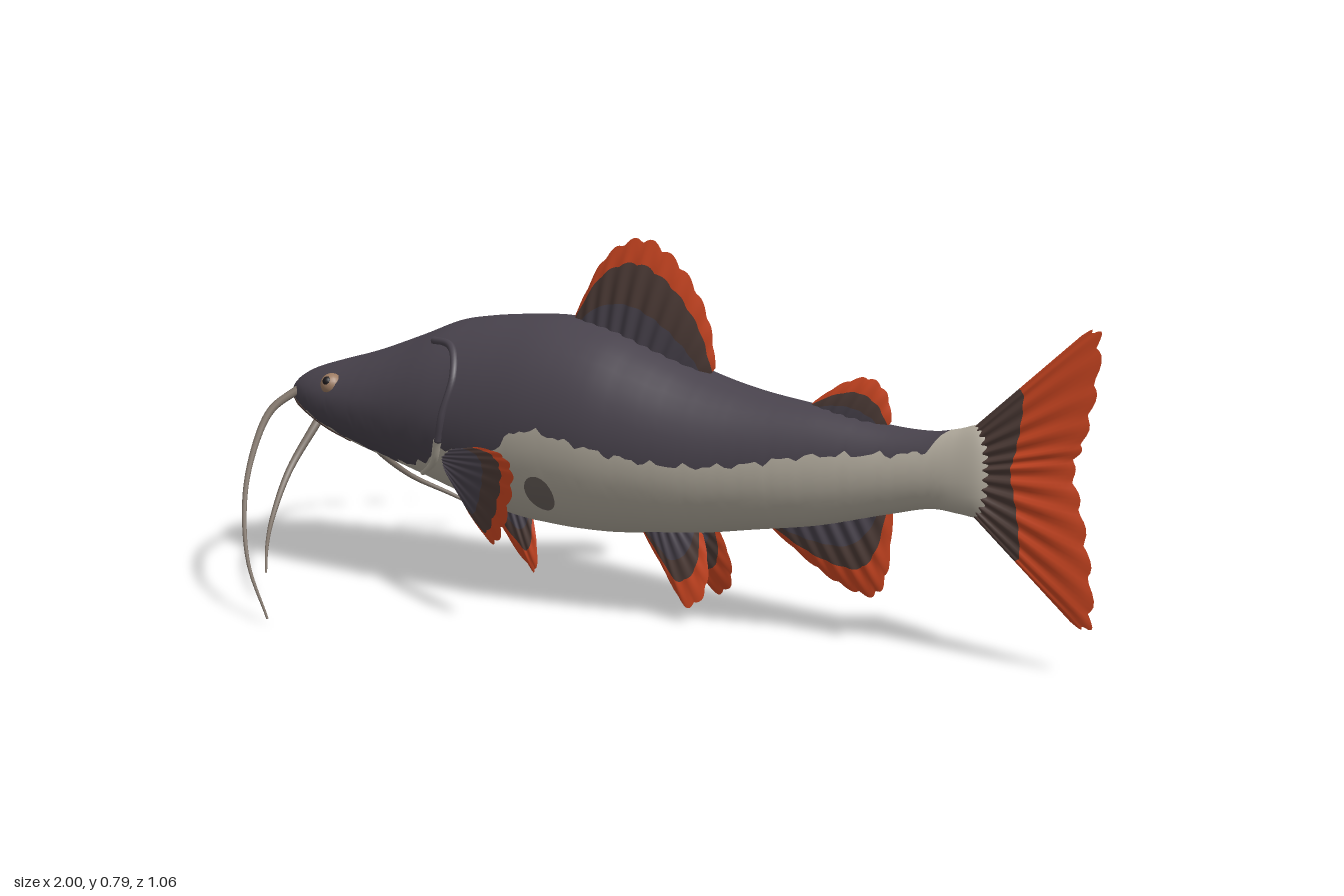
import * as THREE from 'three';

const mat = (name, color) => {
  const m = new THREE.MeshStandardMaterial({ color, side: THREE.DoubleSide });
  m.name = name;
  return m;
};

// Body stations: x, top y, bottom y, half width, y where the dark back meets the pale belly
const STATIONS = [
  [-0.932, 0.405, 0.395, 0.01, 0.4], [-0.925, 0.43, 0.375, 0.06, 0.395], [-0.89, 0.452, 0.352, 0.095, 0.385],
  [-0.82, 0.475, 0.32, 0.135, 0.355], [-0.72, 0.505, 0.285, 0.163, 0.32], [-0.6, 0.55, 0.252, 0.178, 0.285],
  [-0.5, 0.59, 0.222, 0.186, 0.3], [-0.42, 0.607, 0.198, 0.188, 0.345], [-0.33, 0.618, 0.177, 0.19, 0.33],
  [-0.22, 0.623, 0.167, 0.19, 0.405], [-0.1, 0.607, 0.168, 0.183, 0.39], [0, 0.575, 0.178, 0.168, 0.37],
  [0.12, 0.535, 0.192, 0.145, 0.36], [0.25, 0.507, 0.215, 0.117, 0.37], [0.4, 0.488, 0.242, 0.088, 0.4],
  [0.54, 0.467, 0.28, 0.064, 0.415], [0.64, 0.464, 0.305, 0.05, 0.43], [0.7, 0.475, 0.303, 0.042, 0.49],
  [0.75, 0.488, 0.3, 0.032, 0.52], [0.775, 0.465, 0.32, 0.018, 0.55], [0.785, 0.4, 0.385, 0.004, 0.55],
];
const tracks = [1, 2, 3, 4].map(k => new THREE.SplineCurve(STATIONS.map(r => new THREE.Vector2(r[0], r[k]))));

// Cross-section at curve parameter t
function section(t) {
  const [top, bottom, w, split] = tracks.map(c => c.getPoint(t));
  return { x: top.x, cy: (top.y + bottom.y) / 2, h: (top.y - bottom.y) / 2, w: w.y, split: split.y };
}

// Point on the flank above (x, y), pushed out by off
function flank(x, y, side, off = 0) {
  let lo = 0, hi = 1;
  for (let i = 0; i < 24; i++) {
    const m = (lo + hi) / 2;
    if (tracks[0].getPoint(m).x < x) lo = m; else hi = m;
  }
  const s = section(lo);
  const sin = THREE.MathUtils.clamp((y - s.cy) / s.h, -0.99, 0.99);
  const cos = Math.sqrt(1 - sin * sin);
  return new THREE.Vector3(x, y + off * sin, side * (s.w * cos + off * cos));
}

function makeGeometry(pos, index) {
  const g = new THREE.BufferGeometry();
  g.setAttribute('position', new THREE.Float32BufferAttribute(pos, 3));
  g.setIndex(index);
  g.computeVertexNormals();
  return g;
}

// Loft whose columns follow the colour line, so the back and belly meet cleanly
function bodyGeometry() {
  const rings = 180, half = 18, cols = half * 2, pos = [], dark = [], pale = [];
  for (let i = 0; i <= rings; i++) {
    const s = section(i / rings);
    const jag = 0.005 * Math.sin(s.x * 95) + 0.004 * Math.sin(s.x * 171 + 1);
    const v = THREE.MathUtils.clamp((s.split + jag - s.cy) / s.h, -0.96, 1);
    const a = Math.min(Math.asin(v), 1.568);
    for (let j = 0; j < cols; j++) {
      const q = j < half ? a + (Math.PI - 2 * a) * j / half
        : Math.PI - a + (Math.PI + 2 * a) * (j - half) / half;
      pos.push(s.x, s.cy + s.h * Math.sin(q), s.w * Math.cos(q));
    }
  }
  for (let i = 0; i < rings; i++) for (let j = 0; j < cols; j++) {
    const k = (j + 1) % cols, a = i * cols + j, b = i * cols + k;
    (j < half ? dark : pale).push(a, a + cols, b, b, a + cols, b + cols);
  }
  const g = makeGeometry(pos, dark.concat(pale));
  g.addGroup(0, dark.length, 0);
  g.addGroup(dark.length, pale.length, 1);
  return g;
}

// Lens-thick rayed fin between a straight base and a curved scalloped rim;
// bands are the two fractions where the colour changes, lean gives z for (x, y)
function finGeometry(base, edge, bands, thick, rays, lean) {
  const nt = 72, ns = 20, pos = [], parts = [[], [], []];
  const [b0, b1] = base.map(p => new THREE.Vector2(...p));
  const rim = new THREE.SplineCurve(edge.map(p => new THREE.Vector2(...p)));
  const at = (t, s) => {
    const b = b0.clone().lerp(b1, t);
    const scallop = 1 + 0.05 * s * s * (Math.abs(Math.sin(Math.PI * rays * t)) - 0.6);
    return b.lerp(rim.getPoint(t), s * scallop);
  };
  const m = at(0.5, 0.5), dt = at(0.55, 0.5).sub(m), ds = at(0.5, 0.6).sub(m);
  const turn = Math.sign(dt.cross(ds));
  for (const face of [1, -1]) {
    const start = pos.length / 3;
    for (let i = 0; i <= nt; i++) for (let j = 0; j <= ns; j++) {
      const t = i / nt, s = j / ns, p = at(t, s);
      const h = thick * Math.sqrt(Math.max(0, Math.sin(Math.PI * t))) * (1 - s ** 3)
        * (1 + 0.18 * Math.sin(2 * Math.PI * rays * t));
      pos.push(p.x, p.y, lean(p.x, p.y) + face * h);
    }
    for (let i = 0; i < nt; i++) for (let j = 0; j < ns; j++) {
      const a = start + i * (ns + 1) + j, b = a + ns + 1, s = (j + 0.5) / ns;
      const part = parts[s < bands[0] ? 0 : s < bands[1] ? 1 : 2];
      if (face * turn > 0) part.push(a, b, a + 1, a + 1, b, b + 1);
      else part.push(a, a + 1, b, a + 1, b + 1, b);
    }
  }
  const g = makeGeometry(pos, parts.flat());
  let offset = 0;
  parts.forEach((p, k) => { g.addGroup(offset, p.length, k); offset += p.length; });
  return g;
}

// Tube narrowing from radius r to r * tip
function taperedTube(points, r, tip) {
  const n = 36, curve = new THREE.CatmullRomCurve3(points);
  const g = new THREE.TubeGeometry(curve, n, r, 8), p = g.attributes.position, v = new THREE.Vector3();
  for (let i = 0; i < p.count; i++) {
    const u = Math.floor(i / 9) / n, c = curve.getPointAt(u);
    v.fromBufferAttribute(p, i).sub(c).multiplyScalar(1 - (1 - tip) * u).add(c);
    p.setXYZ(i, v.x, v.y, v.z);
  }
  return g;
}

// Oval patch lying on the flank
function patchGeometry(x, y, rx, ry, side) {
  const n = 28, pos = [...flank(x, y, side, 0.004).toArray()], index = [];
  for (const f of [0.5, 1]) for (let i = 0; i < n; i++) {
    const a = side * i / n * Math.PI * 2;
    pos.push(...flank(x + f * rx * Math.cos(a), y + f * ry * Math.sin(a), side, 0.004).toArray());
  }
  for (let i = 0; i < n; i++) {
    const a = 1 + i, b = 1 + (i + 1) % n;
    index.push(0, a, b, a, a + n, b, b, a + n, b + n);
  }
  return makeGeometry(pos, index);
}

export function createModel() {
  const model = new THREE.Group();
  model.name = 'catfish';
  const dark = mat('charcoal skin', 0x49434d), pale = mat('cream belly', 0xb5aea0);
  const brown = mat('brown fin', 0x4f3d38), red = mat('orange red fin', 0xcf4722);
  const whisker = mat('whisker grey', 0x7d7268), tan = mat('eye tan', 0x9c7b62);
  const black = mat('pupil black', 0x1c191c), spotGrey = mat('spot grey brown', 0x6a615c);
  const add = (name, geometry, material) => {
    const mesh = new THREE.Mesh(geometry, material);
    mesh.name = name;
    model.add(mesh);
    return mesh;
  };

  add('body', bodyGeometry(), [dark, pale]);

  // Median fins
  const finMats = [dark, brown, red], flat = () => 0;
  add('dorsalFin', finGeometry([[-0.21, 0.58], [0.11, 0.5]],
    [[-0.2, 0.63], [-0.125, 0.755], [-0.03, 0.8], [0.06, 0.75], [0.125, 0.65], [0.145, 0.545]],
    [0.45, 0.8], 0.022, 10, flat), finMats);
  add('adiposeFin', finGeometry([[0.35, 0.47], [0.53, 0.44]],
    [[0.38, 0.5], [0.44, 0.54], [0.5, 0.557], [0.54, 0.53], [0.553, 0.475]],
    [0.4, 0.7], 0.015, 6, flat), finMats);
  add('analFin', finGeometry([[0.26, 0.25], [0.53, 0.32]],
    [[0.28, 0.22], [0.37, 0.16], [0.45, 0.12], [0.52, 0.11], [0.55, 0.17], [0.56, 0.295]],
    [0.45, 0.72], 0.016, 8, flat), finMats);
  add('throatFin', finGeometry([[-0.42, 0.22], [-0.32, 0.19]],
    [[-0.415, 0.17], [-0.385, 0.12], [-0.33, 0.06], [-0.31, 0.05], [-0.305, 0.1], [-0.315, 0.17]],
    [0.4, 0.7], 0.012, 5, flat), finMats);
  add('tailFin', finGeometry([[0.72, 0.47], [0.72, 0.315]],
    [[0.96, 0.69], [0.99, 0.685], [0.985, 0.58], [0.965, 0.48], [0.945, 0.42],
      [0.965, 0.33], [0.985, 0.22], [0.99, 0.115], [0.955, 0.11]],
    [0, 0.45], 0.022, 13, flat), finMats);

  for (const side of [1, -1]) {
    const tag = side > 0 ? 'left' : 'right';

    // Paired fins
    add(tag + 'PectoralFin', finGeometry([[-0.44, 0.335], [-0.42, 0.285]],
      [[-0.29, 0.373], [-0.2, 0.378], [-0.152, 0.355], [-0.155, 0.3], [-0.19, 0.22], [-0.235, 0.18], [-0.33, 0.22]],
      [0.6, 0.83], 0.01, 9, (x) => side * (0.17 + (x + 0.42) * 0.56)), finMats);
    add(tag + 'PelvicFin', finGeometry([[-0.02, 0.21], [0.1, 0.21]],
      [[-0.01, 0.18], [0.05, 0.11], [0.11, 0.045], [0.15, 0.07], [0.155, 0.13], [0.135, 0.195]],
      [0.45, 0.72], 0.009, 6, (x, y) => side * (0.03 + (0.2 - y) * 0.22)), finMats);

    // Gill cover rim, mouth crease and flank spot
    const line = (pts, off) => pts.map(([x, y]) => flank(x, y, side, off));
    add(tag + 'GillRim', taperedTube(line([[-0.5, 0.56], [-0.44, 0.555], [-0.405, 0.5], [-0.42, 0.42], [-0.435, 0.36]], 0),
      0.009, 0.9), dark);
    add(tag + 'GillMembrane', taperedTube(line([[-0.435, 0.36], [-0.46, 0.31], [-0.53, 0.265]], 0), 0.01, 0.6), pale);
    add(tag + 'MouthCrease', taperedTube(line([[-0.922, 0.39], [-0.89, 0.375], [-0.81, 0.338], [-0.73, 0.315]], 0),
      0.005, 0.5), brown);
    add(tag + 'FlankSpot', patchGeometry(-0.19, 0.27, 0.035, 0.04, side), spotGrey);

    // Eye
    const eye = add(tag + 'Eye', new THREE.SphereGeometry(0.025, 20, 14), tan);
    eye.position.copy(flank(-0.765, 0.445, side, -0.008));
    const pupil = add(tag + 'Pupil', new THREE.SphereGeometry(0.012, 16, 10), black);
    pupil.position.copy(flank(-0.765, 0.445, side, 0.008));
  }

  // Long whiskers, each with its own sweep
  const whiskers = {
    leftUpperWhisker: [[-0.9, 0.41, 0.07], [-0.87, 0.385, 0.21], [-0.84, 0.33, 0.3], [-0.79, 0.24, 0.4], [-0.72, 0.12, 0.48], [-0.63, 0.02, 0.53]],
    rightUpperWhisker: [[-0.9, 0.41, -0.07], [-0.95, 0.39, -0.2], [-0.985, 0.32, -0.31], [-0.995, 0.25, -0.38], [-0.985, 0.18, -0.46], [-0.968, 0.13, -0.53]],
    leftChinWhisker: [[-0.85, 0.34, 0.07], [-0.87, 0.24, 0.15], [-0.84, 0.155, 0.25], [-0.8, 0.11, 0.32], [-0.755, 0.07, 0.38]],
    rightChinWhisker: [[-0.85, 0.34, -0.07], [-0.87, 0.25, -0.15], [-0.84, 0.16, -0.25], [-0.78, 0.1, -0.34], [-0.66, 0.01, -0.46]],
  };
  for (const [name, pts] of Object.entries(whiskers))
    add(name, taperedTube(pts.map(p => new THREE.Vector3(...p)), 0.01, 0.25), whisker);

  return model;
}
